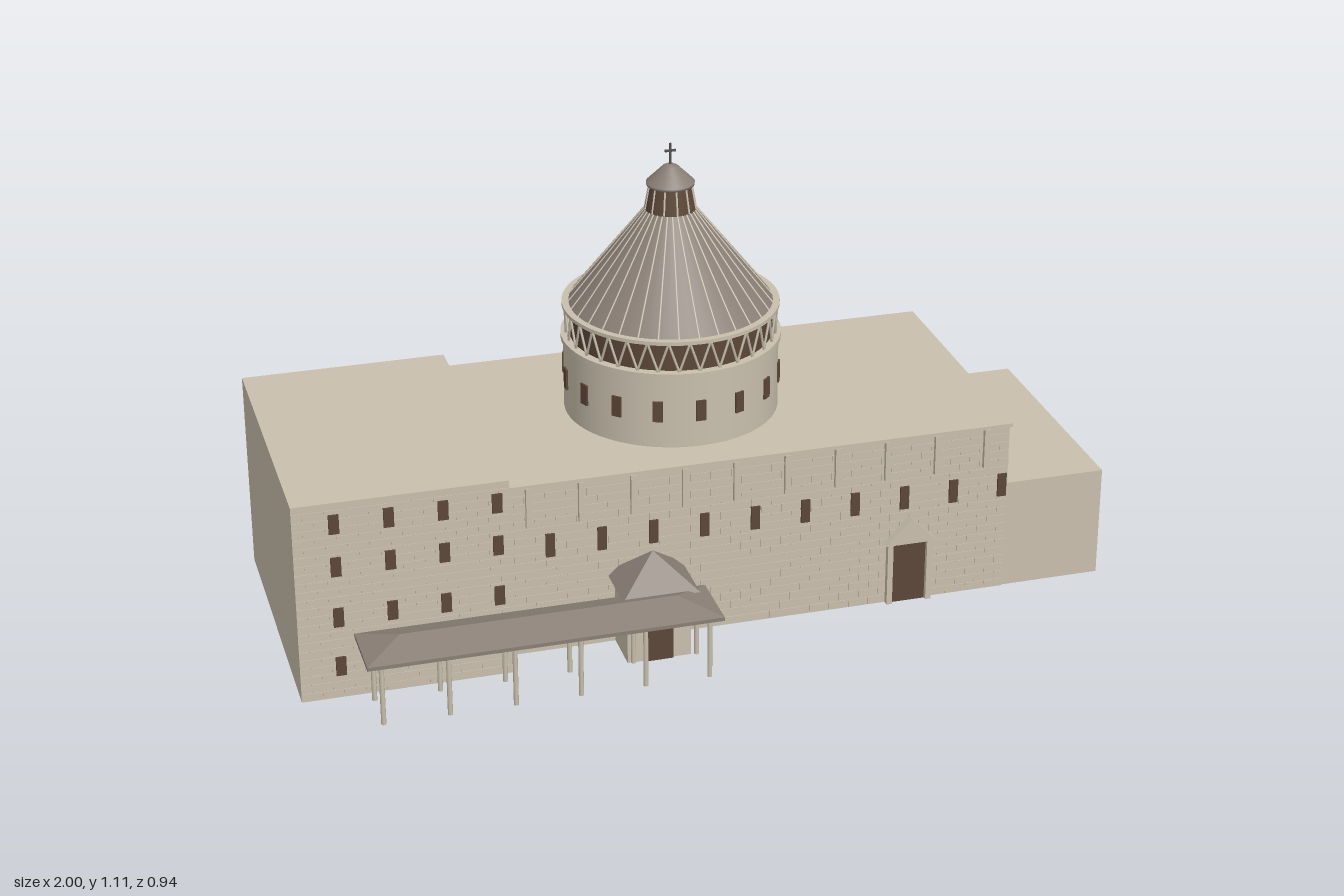
import * as THREE from 'three';
import { mergeGeometries } from 'three/addons/utils/BufferGeometryUtils.js';

const mat = (name, color) => Object.assign(new THREE.MeshStandardMaterial({ color }), { name });

export function createModel() {
  const model = new THREE.Group();
  const stone = mat('stone', 0xc9bfad);
  const roofing = mat('roofing', 0x8a7f76);
  const brown = mat('dark brown', 0x5c4738);
  const pale = mat('pale rib', 0xd2c9b8);
  const iron = mat('iron', 0x55504c);
  const CZ = -0.12; // depth of the dome axis

  const add = (name, geo, material, parent = model) => {
    const mesh = new THREE.Mesh(geo, material);
    mesh.name = name;
    parent.add(mesh);
    return mesh;
  };
  // Box geometry from its two corners
  const box = (x0, x1, y0, y1, z0, z1) =>
    new THREE.BoxGeometry(x1 - x0, y1 - y0, z1 - z0)
      .translate((x0 + x1) / 2, (y0 + y1) / 2, (z0 + z1) / 2);
  // Round strut between two points
  const strut = (a, b, r) => {
    const dir = b.clone().sub(a);
    const q = new THREE.Quaternion().setFromUnitVectors(new THREE.Vector3(0, 1, 0), dir.clone().normalize());
    const mid = a.clone().add(b).multiplyScalar(0.5);
    return new THREE.CylinderGeometry(r, r, dir.length(), 5).applyQuaternion(q).translate(mid.x, mid.y, mid.z);
  };
  const polar = (a, r, y) => new THREE.Vector3(Math.sin(a) * r, y, Math.cos(a) * r);
  const repeat = (n, fn) => mergeGeometries(Array.from({ length: n }, (_, i) => fn(i)));

  // Hipped roof with a ridge along x and a closed underside
  const hipRoof = (x0, x1, z0, z1, y0, y1, inset) => {
    const zm = (z0 + z1) / 2;
    const a = [x0, y0, z1], b = [x1, y0, z1], c = [x1, y0, z0], d = [x0, y0, z0];
    const e = [x0 + inset, y1, zm], f = [x1 - inset, y1, zm];
    const tris = [a, b, f, a, f, e, c, d, e, c, e, f, b, c, f, d, a, e, a, d, c, a, c, b];
    const geo = new THREE.BufferGeometry();
    geo.setAttribute('position', new THREE.Float32BufferAttribute(tris.flat(), 3));
    geo.computeVertexNormals();
    return geo;
  };

  // Shallow running-bond masonry on a front wall
  const masonry = (x0, x1, height, z) => {
    const rowH = 0.022, len = 0.05, gap = 0.002, blocks = [];
    for (let row = 0; (row + 1) * rowH <= height; row++) {
      for (let x = x0 - (row % 2) * len / 2; x < x1 - gap; x += len) {
        const l = Math.max(x, x0), r = Math.min(x + len - gap, x1);
        if (r - l > 0.004) blocks.push(box(l, r, row * rowH, (row + 1) * rowH - gap, z - 0.001, z + 0.0015));
      }
    }
    return mergeGeometries(blocks);
  };

  // Main blocks
  add('mainHall', box(-0.5, 0.75, 0, 0.437, -0.462, 0.222), stone);
  add('hallRoofSlab', box(-0.508, 0.754, 0.436, 0.445, -0.47, 0.232), stone);
  add('tallWing', box(-1, -0.5, 0, 0.5, -0.42, 0.3), stone);
  add('lowWing', box(0.75, 1, 0, 0.28, -0.4, 0.22), stone);
  add('hallMasonry', masonry(-0.5, 0.75, 0.436, 0.222), stone);
  add('wingMasonry', masonry(-1, -0.5, 0.5, 0.3), stone);

  // Facade windows and pilasters
  add('hallWindows', repeat(10, i => {
    const x = -0.39 + i * 0.125;
    return box(x - 0.011, x + 0.011, 0.25, 0.31, 0.22, 0.228);
  }), brown);
  add('hallPilasters', repeat(10, i => {
    const x = -0.44 + i * 0.1255;
    return box(x - 0.007, x + 0.007, 0.335, 0.437, 0.22, 0.234);
  }), stone);
  add('wingWindows', repeat(16, i => {
    const x = -0.905 + (i % 4) * 0.125, y = [0.083, 0.21, 0.34, 0.448][Math.floor(i / 4)];
    return box(x - 0.012, x + 0.012, y - 0.024, y + 0.024, 0.298, 0.306);
  }), brown);

  // Gabled side portal
  const portal = new THREE.Group();
  portal.name = 'sidePortal';
  model.add(portal);
  add('portalDoor', box(0.458, 0.542, 0, 0.157, 0.22, 0.229), brown, portal);
  for (const s of [-1, 1]) {
    const x = 0.5 + s * 0.05;
    add('portalPost', box(x - 0.007, x + 0.007, 0, 0.166, 0.22, 0.238), stone, portal);
  }
  const gable = new THREE.Shape([[-0.065, 0.163], [0.065, 0.163], [0, 0.23]].map(p => new THREE.Vector2(...p)));
  add('portalGable', new THREE.ExtrudeGeometry(gable, { depth: 0.025, bevelEnabled: false }).translate(0.5, 0, 0.22), stone, portal);

  // Entrance porch
  const porch = new THREE.Group();
  porch.name = 'entrancePorch';
  model.add(porch);
  add('porchBody', box(-0.235, -0.08, 0, 0.178, 0.22, 0.335), stone, porch);
  add('porchDoor', box(-0.19, -0.125, 0, 0.132, 0.33, 0.34), brown, porch);
  add('porchRoof', hipRoof(-0.251, -0.065, 0.2, 0.36, 0.177, 0.26, 0.093), roofing, porch);

  // Long canopy on posts
  const canopy = new THREE.Group();
  canopy.name = 'canopy';
  model.add(canopy);
  add('canopyEave', box(-0.872, -0.038, 0.155, 0.164, 0.306, 0.468), roofing, canopy);
  add('canopyRoof', hipRoof(-0.872, -0.038, 0.306, 0.468, 0.164, 0.193, 0.09), roofing, canopy);
  add('canopyPosts', repeat(12, i =>
    new THREE.CylinderGeometry(0.006, 0.006, 0.156, 8)
      .translate(-0.837 + (i % 6) * 0.154, 0.078, i < 6 ? 0.445 : 0.335)), stone, canopy);

  // Rotunda
  const dome = new THREE.Group();
  dome.name = 'rotunda';
  dome.position.z = CZ;
  model.add(dome);
  const drumPart = (name, rTop, rBottom, y0, y1, material, seg = 64) =>
    add(name, new THREE.CylinderGeometry(rTop, rBottom, y1 - y0, seg).translate(0, (y0 + y1) / 2, 0), material, dome);
  drumPart('drum', 0.26, 0.26, 0.44, 0.626, stone);
  drumPart('drumCornice', 0.266, 0.266, 0.624, 0.637, stone);
  add('drumWindows', repeat(16, i =>
    new THREE.BoxGeometry(0.024, 0.052, 0.009).translate(0, 0.538, 0.26).rotateY(i * Math.PI / 8)), brown, dome);
  drumPart('galleryWall', 0.245, 0.245, 0.637, 0.712, brown);
  drumPart('galleryRing', 0.262, 0.262, 0.708, 0.717, stone);

  // Zigzag gallery struts
  const V = 32, step = Math.PI * 2 / V;
  add('galleryStruts', repeat(V * 2, i => {
    const a = Math.floor(i / 2) * step;
    const top = i % 2 ? a + step / 2 : a - step / 2;
    return strut(polar(a, 0.253, 0.636), polar(top, 0.256, 0.71), 0.0032);
  }), stone, dome);

  // Conical roof and its ribs
  drumPart('coneRoof', 0.06, 0.247, 0.715, 0.952, roofing);
  add('coneRibs', repeat(32, i => {
    const a = i * step;
    return strut(polar(a, 0.247, 0.716), polar(a, 0.061, 0.95), 0.0022);
  }), pale, dome);

  // Lantern, cap and cross
  drumPart('lantern', 0.05, 0.062, 0.95, 1.014, brown, 32);
  add('lanternRibs', repeat(12, i => {
    const a = i * Math.PI / 6;
    return strut(polar(a, 0.062, 0.951), polar(a, 0.051, 1.013), 0.0025);
  }), pale, dome);
  const cap = [[0, 1.01], [0.057, 1.01], [0.058, 1.017], [0.018, 1.056], [0.01, 1.06], [0, 1.061]];
  add('lanternCap', new THREE.LatheGeometry(cap.map(p => new THREE.Vector2(...p)), 32), roofing, dome);
  add('crossPost', box(-0.0025, 0.0025, 1.058, 1.112, -0.0025, 0.0025), iron, dome);
  add('crossArm', box(-0.013, 0.013, 1.091, 1.096, -0.0025, 0.0025), iron, dome);
  return model;
}
